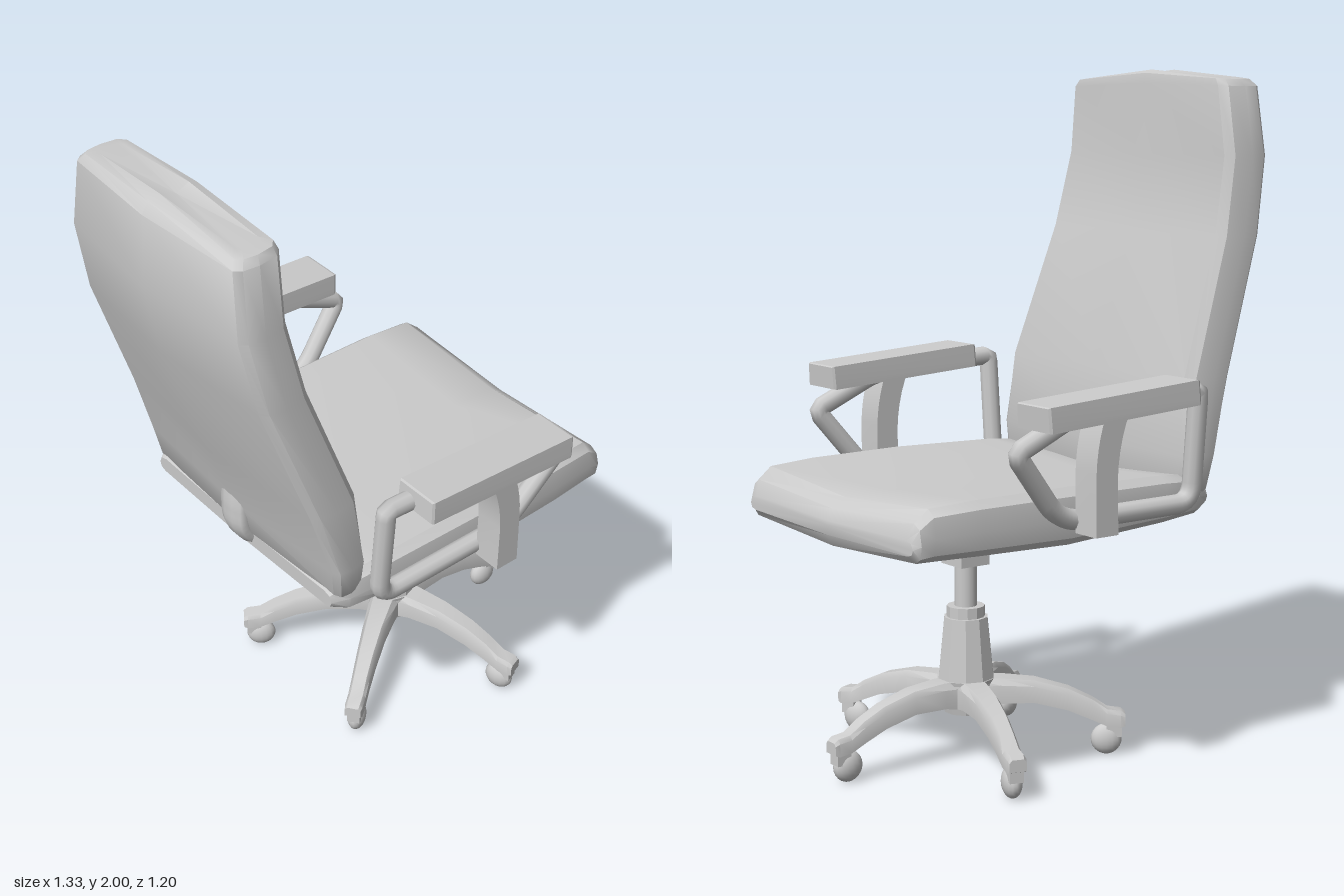
import * as THREE from 'three';
import { toCreasedNormals } from 'three/addons/utils/BufferGeometryUtils.js';

const grey = new THREE.MeshStandardMaterial({ color: 0xcccccc });
const facetedGrey = new THREE.MeshStandardMaterial({ color: 0xcccccc, flatShading: true });
const BASE_X = 0.19;

function mesh(name, geometry, material = grey) {
  const m = new THREE.Mesh(geometry, material);
  m.name = name;
  return m;
}

// Skin a list of rings (arrays of Vector3) and cap both ends.
function loft(rings, flip = false, crease = 0.6) {
  const n = rings[0].length, pos = [], idx = [];
  const tri = (a, b, c) => (flip ? idx.push(a, c, b) : idx.push(a, b, c));
  rings.forEach(r => r.forEach(p => pos.push(p.x, p.y, p.z)));
  for (let k = 0; k < rings.length - 1; k++) {
    for (let i = 0; i < n; i++) {
      const j = (i + 1) % n, a = k * n, b = a + n;
      tri(a + i, a + j, b + j);
      tri(a + i, b + j, b + i);
    }
  }
  [0, rings.length - 1].forEach((k, end) => {
    const centre = new THREE.Vector3();
    rings[k].forEach(p => centre.addScaledVector(p, 1 / n));
    const c = pos.length / 3;
    pos.push(centre.x, centre.y, centre.z);
    for (let i = 0; i < n; i++) {
      const p = k * n + i, q = k * n + (i + 1) % n;
      end ? tri(c, p, q) : tri(c, q, p);
    }
  });
  const g = new THREE.BufferGeometry();
  g.setAttribute('position', new THREE.Float32BufferAttribute(pos, 3));
  g.setIndex(idx);
  return toCreasedNormals(g, crease);
}

// Cushion cross-section: [width -1..1, thickness 0..1], padded edges and a shallow keel.
function cushionSection(middle) {
  const half = [[0.92, 1], [0.98, 0.88], [1, 0.55], [0.985, 0.28], [0.94, 0.17]];
  const other = half.map(([u, t]) => [-u, t]).reverse();
  return [[0, middle], ...half, [0, 0], ...other];
}

// Closed path through the points with rounded corners.
function roundedLoop(points, radii) {
  const path = new THREE.CurvePath(), n = points.length;
  const toward = (a, b, r) => a.clone().add(b.clone().sub(a).setLength(r));
  points.forEach((p, i) => {
    const prev = points[(i + n - 1) % n], next = points[(i + 1) % n];
    const out = toward(p, next, radii[i]);
    path.add(new THREE.QuadraticBezierCurve3(toward(p, prev, radii[i]), p, out));
    path.add(new THREE.LineCurve3(out, toward(next, p, radii[(i + 1) % n])));
  });
  return path;
}

function makeSeat() {
  // x, bottom, top, half width
  const stations = [
    [-0.38, 0.74, 0.8, 0.41], [-0.33, 0.705, 0.84, 0.435], [-0.2, 0.69, 0.852, 0.445],
    [0.15, 0.667, 0.86, 0.455], [0.45, 0.675, 0.858, 0.45], [0.6, 0.68, 0.85, 0.44],
    [0.642, 0.687, 0.815, 0.435], [0.66, 0.72, 0.77, 0.42],
  ];
  const section = cushionSection(0.82);
  return mesh('seat', loft(stations.map(([x, b, t, w]) =>
    section.map(([u, v]) => new THREE.Vector3(x, b + (t - b) * v, w * u)))));
}

function makeBackrest() {
  // y, back x, front x, half width, drop of the sides
  const stations = [
    [0.76, -0.35, -0.29, 0.41, 0], [0.8, -0.39, -0.275, 0.435, 0], [0.9, -0.413, -0.272, 0.45, 0],
    [1.12, -0.485, -0.293, 0.436, 0], [1.52, -0.622, -0.432, 0.405, 0], [1.75, -0.665, -0.48, 0.385, 0],
    [1.96, -0.653, -0.475, 0.357, 0.01], [1.99, -0.63, -0.48, 0.34, 0.02], [2, -0.595, -0.505, 0.31, 0.025],
  ];
  const section = cushionSection(1);
  return mesh('backrest', loft(stations.map(([y, b, f, w, drop]) =>
    section.map(([u, t]) => new THREE.Vector3(b + (f - b) * t, y - drop * Math.abs(u), w * u))), true));
}

// Curved strap joining seat underside and backrest
function makeBackBracket() {
  const pts = [[-0.1, 0.715], [-0.25, 0.715], [-0.34, 0.74], [-0.395, 0.81], [-0.402, 0.88], [-0.395, 0.96]];
  const curve = new THREE.CatmullRomCurve3(pts.map(([x, y]) => new THREE.Vector3(x, y, 0)));
  const g = new THREE.TubeGeometry(curve, 24, 0.028, 10, false);
  g.scale(1, 1, 2);
  return mesh('backBracket', g);
}

function makeArm(side) {
  const arm = new THREE.Group();
  arm.name = side > 0 ? 'leftArm' : 'rightArm';

  // Bent tube frame
  const corners = [[-0.26, 1.105, 0.5], [-0.26, 0.777, 0.472], [0.215, 0.777, 0.472],
    [0.385, 0.985, 0.5], [0.17, 1.08, 0.5]].map(([x, y, z]) => new THREE.Vector3(x, y, z * side));
  const loop = roundedLoop(corners, [0.015, 0.06, 0.08, 0.025, 0.04]);
  arm.add(mesh('armFrame', new THREE.TubeGeometry(loop, 110, 0.029, 10, true)));

  // Curved upright slab
  const s = new THREE.Shape();
  s.moveTo(0.095, 0.745);
  s.lineTo(0.172, 0.745);
  s.lineTo(0.172, 0.92);
  s.quadraticCurveTo(0.17, 1.0, 0.14, 1.08);
  s.lineTo(0.055, 1.085);
  s.quadraticCurveTo(0.095, 1.0, 0.098, 0.9);
  const slab = mesh('armUpright', toCreasedNormals(
    new THREE.ExtrudeGeometry(s, { depth: 0.09, bevelEnabled: false, curveSegments: 5 }), 0.6));
  slab.position.z = side > 0 ? 0.488 : -0.578;
  arm.add(slab);

  // Tilted pad with a chamfered top
  const ring = (x, k) => [[0.04, 0.06], [0.04, 0.07], [-0.015, 0.073], [-0.03, 0.073],
    [-0.03, -0.073], [-0.015, -0.073], [0.04, -0.07]]
    .slice(1).map(([y, z]) => new THREE.Vector3(x, y * k, z * k));
  const pad = mesh('armPad', loft([ring(-0.265, 0.94), ring(-0.258, 1), ring(0.258, 1), ring(0.265, 0.94)], false, 0.1));
  pad.rotation.z = -0.062;
  pad.position.set(0.083, 1.093, 0.528 * side);
  arm.add(pad);
  return arm;
}

function makeColumn() {
  const column = new THREE.Group();
  column.name = 'column';
  const add = (name, rTop, rBottom, y0, y1, sides, material) => {
    const m = mesh(name, new THREE.CylinderGeometry(rTop, rBottom, y1 - y0, sides), material);
    m.position.y = (y0 + y1) / 2;
    column.add(m);
  };
  const mount = mesh('seatMount', new THREE.BoxGeometry(0.1, 0.12, 0.1));
  mount.position.y = 0.635;
  column.add(mount);
  add('piston', 0.033, 0.033, 0.43, 0.6, 16, grey);
  add('collar', 0.056, 0.056, 0.4, 0.452, 12, facetedGrey);
  add('sleeve', 0.066, 0.086, 0.22, 0.42, 10, facetedGrey);
  add('hub', 0.088, 0.065, 0.135, 0.238, 10, facetedGrey);
  column.position.x = BASE_X;
  return column;
}

function makeLeg(i) {
  const leg = new THREE.Group();
  leg.name = 'baseLeg' + (i + 1);
  // radius, bottom, top, half width
  const stations = [
    [0.02, 0.15, 0.238, 0.05], [0.1, 0.165, 0.238, 0.043], [0.2, 0.165, 0.23, 0.036],
    [0.3, 0.14, 0.203, 0.031], [0.37, 0.11, 0.17, 0.028], [0.415, 0.09, 0.14, 0.028],
    [0.455, 0.085, 0.135, 0.028], [0.468, 0.09, 0.125, 0.025],
  ];
  const section = [[0.7, 1], [1, 0.75], [1, 0], [-1, 0], [-1, 0.75], [-0.7, 1]];
  leg.add(mesh('legArm', loft(stations.map(([r, b, t, w]) =>
    section.map(([u, v]) => new THREE.Vector3(r, b + (t - b) * v, w * u))))));

  // Rounded wheel and its fork
  const wheel = mesh('casterWheel', new THREE.SphereGeometry(0.046, 16, 12));
  wheel.scale.z = 0.62;
  wheel.position.set(0.413, 0.046, 0);
  const fork = mesh('casterFork', new THREE.BoxGeometry(0.045, 0.06, 0.04));
  fork.position.set(0.435, 0.085, 0);
  leg.add(wheel, fork);

  leg.position.x = BASE_X;
  leg.rotation.y = (i * Math.PI * 2) / 5;
  return leg;
}

export function createModel() {
  const chair = new THREE.Group();
  chair.name = 'officeChair';
  chair.add(makeSeat(), makeBackrest(), makeBackBracket(), makeColumn());
  for (const side of [1, -1]) chair.add(makeArm(side));
  for (let i = 0; i < 5; i++) chair.add(makeLeg(i));
  return chair;
}
